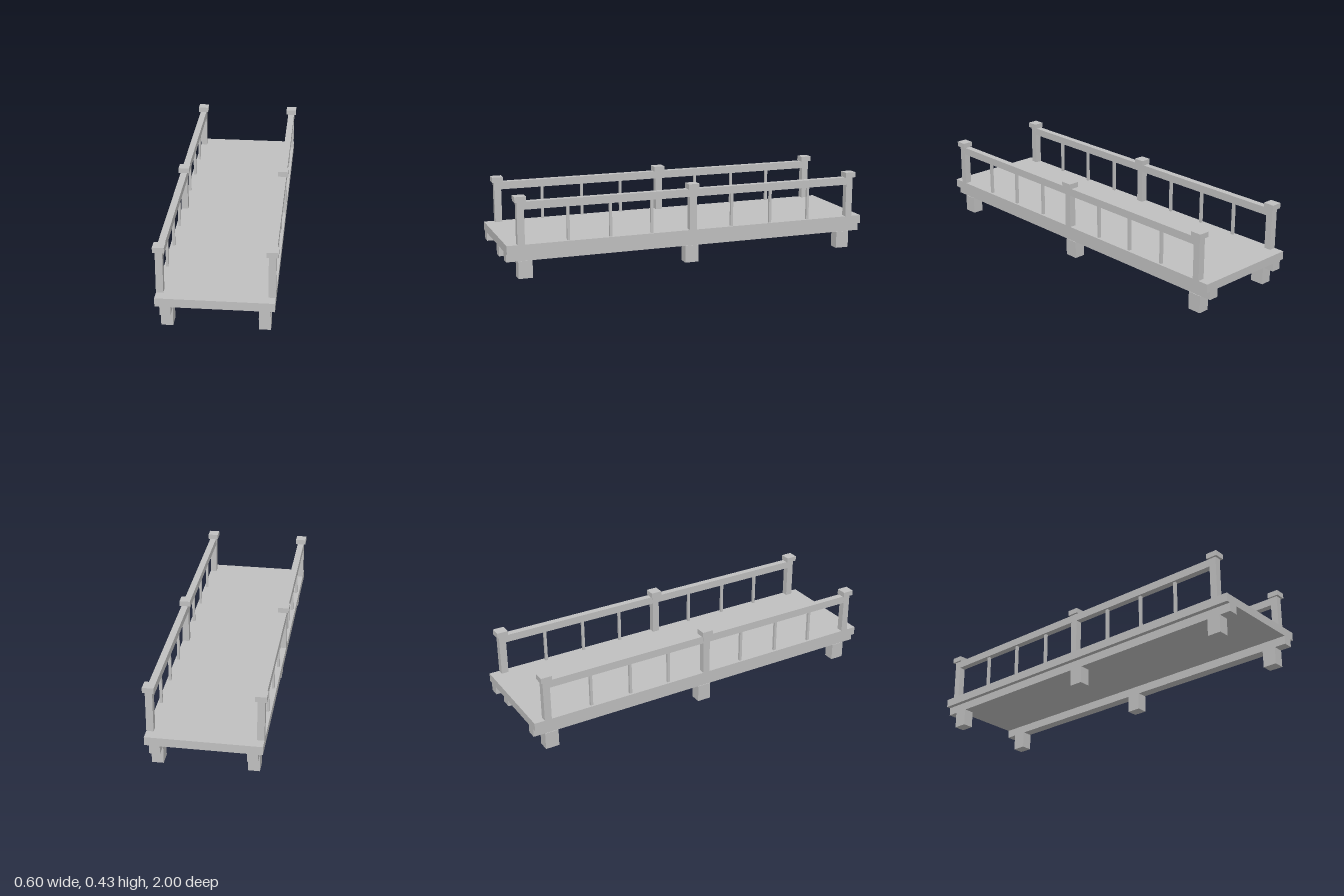
import * as THREE from 'three';

export function createModel() {
  const bridge = new THREE.Group();
  bridge.name = 'footbridge';
  const grey = new THREE.MeshStandardMaterial({ color: 0xc0c0c0 });
  grey.name = 'grey';

  // Box standing on height y0, reaching y1, centred on x and z
  function box(name, width, y0, y1, depth, x, z) {
    const mesh = new THREE.Mesh(new THREE.BoxGeometry(width, y1 - y0, depth), grey);
    mesh.name = name;
    mesh.position.set(x, (y0 + y1) / 2, z);
    bridge.add(mesh);
  }

  box('deck', 0.576, 0.137, 0.182, 2, 0, 0);

  for (const [side, s] of [['left', 1], ['right', -1]]) {
    // Long beam under the deck and handrail above it
    box(side + 'Beam', 0.053, 0.092, 0.137, 2, s * 0.238, 0);
    box(side + 'Rail', 0.035, 0.361, 0.402, 1.85, s * 0.27, 0);

    for (const end of [-1, 0, 1]) {
      box(side + 'Leg', 0.059, 0, 0.092, 0.074, s * 0.238, end * 0.902);
      box(side + 'Post', 0.036, 0.182, 0.402, 0.038, s * 0.27, end * 0.925);
      box(side + 'PostCap', 0.057, 0.402, 0.43, 0.06, s * 0.27, end * 0.926);
    }

    // Thin balusters, three in each bay
    for (const i of [-3, -2, -1, 1, 2, 3]) {
      box(side + 'Baluster', 0.014, 0.182, 0.361, 0.014, s * 0.27, i * 0.2255);
    }
  }
  return bridge;
}
